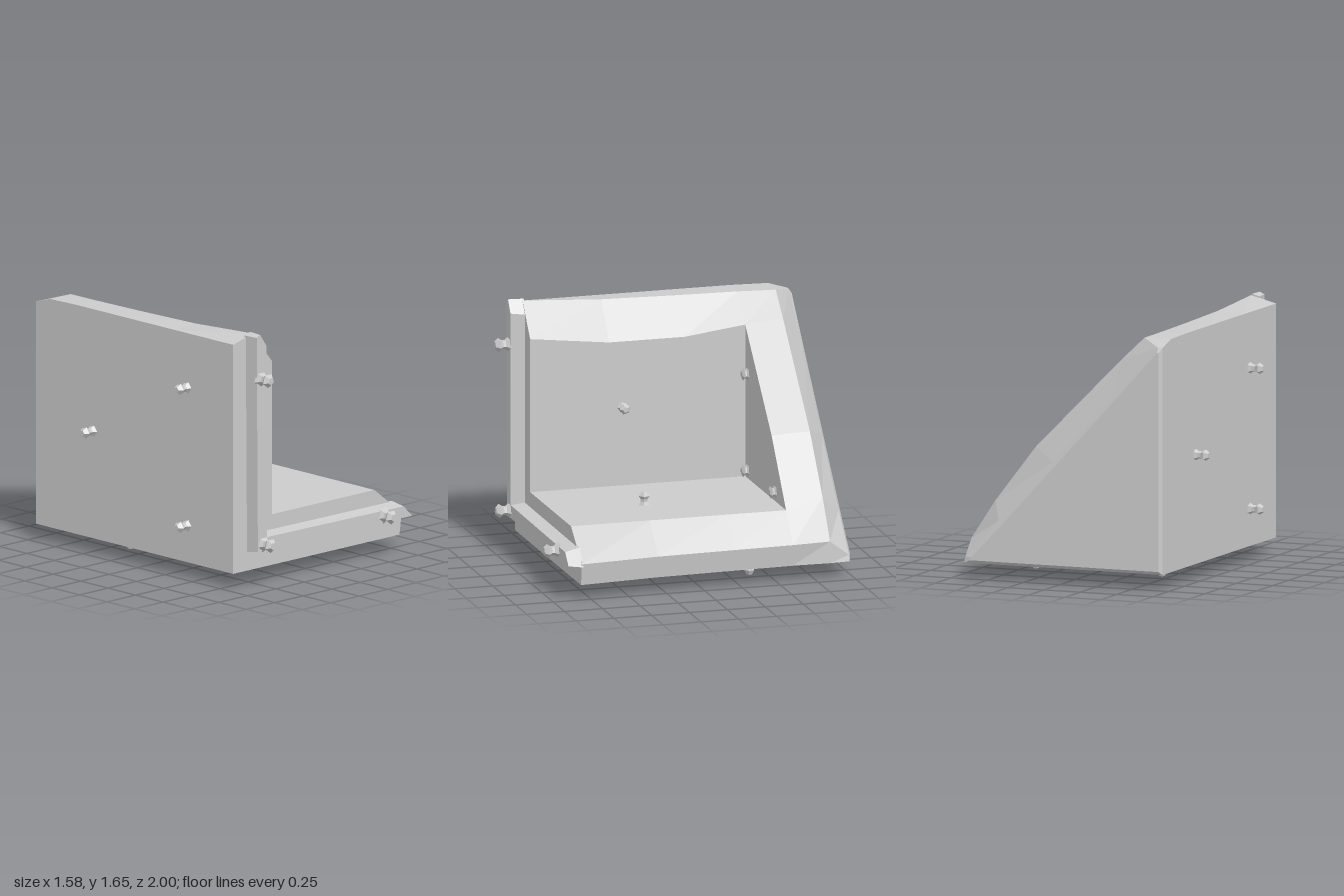
import * as THREE from 'three';

const material = new THREE.MeshStandardMaterial({ color: 0xcccccc, flatShading: true, side: THREE.DoubleSide });

// Joins rings of [x, y] points, ordered front to back and counterclockwise from the front.
function loft(rings) {
  const pos = [];
  const tri = (...pts) => pts.forEach((p) => pos.push(...p));
  const cap = (ring, front) => {
    const contour = ring.pts.map(([x, y]) => new THREE.Vector2(x, y));
    for (const f of THREE.ShapeUtils.triangulateShape(contour, [])) {
      const [a, b, c] = f.map((i) => [...ring.pts[i], ring.z]);
      if (front) tri(a, b, c); else tri(a, c, b);
    }
  };
  for (let r = 0; r < rings.length - 1; r++) {
    const f = rings[r], k = rings[r + 1], n = f.pts.length;
    for (let i = 0; i < n; i++) {
      const j = (i + 1) % n;
      const a = [...f.pts[i], f.z], b = [...f.pts[j], f.z];
      const c = [...k.pts[j], k.z], d = [...k.pts[i], k.z];
      tri(a, c, b);
      tri(a, d, c);
    }
  }
  cap(rings[0], true);
  cap(rings[rings.length - 1], false);
  const geo = new THREE.BufferGeometry();
  geo.setAttribute('position', new THREE.Float32BufferAttribute(pos, 3));
  geo.computeVertexNormals();
  return geo;
}

// L-shaped section of the side wall and floor, with sloped rims on both ends.
function wallSection(z, floorEnd, wallTop, rimY, mid = [-0.36, 0.43]) {
  return {
    z,
    pts: [
      [-0.7, 0.1], [floorEnd - 0.02, 0.1], [floorEnd, 0.24], [0.54, 0.43],
      mid, [-0.36, rimY], [-0.53, wallTop], [-0.7, 1.595],
    ],
  };
}

// Small faceted stud: flared root, narrow neck, blunt knob.
function makeStud(name, position, normal, radius, height) {
  const profile = [[1.1, -0.1], [0.62, 0.25], [0.6, 0.45], [0.95, 0.7], [0.5, 1], [0, 1]]
    .map(([r, h]) => new THREE.Vector2(r * radius, h * height));
  const stud = new THREE.Mesh(new THREE.LatheGeometry(profile, 5), material);
  stud.name = name;
  stud.position.set(...position);
  stud.quaternion.setFromUnitVectors(new THREE.Vector3(0, 1, 0), new THREE.Vector3(...normal));
  return stud;
}

export function createModel() {
  const group = new THREE.Group();
  group.name = 'cornerBlock';
  const add = (name, geo) => {
    const mesh = new THREE.Mesh(geo, material);
    mesh.name = name;
    group.add(mesh);
  };

  // Side wall, floor and triangular back wall; the inner corner jumps to the diagonal at the back wall
  add('cornerWalls', loft([
    wallSection(0.82, 0.78, 1.64, 1.43),
    wallSection(0.3, 0.73, 1.61, 1.37),
    wallSection(-0.2, 0.71, 1.6, 1.37),
    wallSection(-0.6, 0.695, 1.595, 1.42),
    wallSection(-0.6, 0.695, 1.595, 1.42, [0.22, 0.84]),
    {
      z: -0.85,
      pts: [[-0.7, 0.1], [0.68, 0.1], [0.675, 0.24], [0.51, 0.49],
        [0.23, 0.85], [-0.36, 1.44], [-0.52, 1.59], [-0.7, 1.59]],
    },
    // Bevelled rear rim
    {
      z: -0.98,
      pts: [[-0.7, 0.1], [0.67, 0.1], [0.66, 0.14], [0.43, 0.38],
        [0.06, 0.78], [-0.36, 1.22], [-0.67, 1.55], [-0.7, 1.55]],
    },
    {
      z: -1,
      pts: [[-0.68, 0.12], [0.62, 0.12], [0.61, 0.14], [0.4, 0.36],
        [0.04, 0.75], [-0.36, 1.18], [-0.67, 1.52], [-0.68, 1.52]],
    },
  ]));

  // Raised L-shaped tongue on the front edges
  add('frontTongue', loft([
    {
      z: 0.91,
      pts: [[-0.57, 0.235], [0.785, 0.235], [0.71, 0.31], [-0.49, 0.32],
        [-0.495, 1.57], [-0.55, 1.65], [-0.58, 1.635]],
    },
    {
      z: 0.81,
      pts: [[-0.58, 0.22], [0.785, 0.22], [0.7, 0.33], [-0.475, 0.335],
        [-0.475, 1.56], [-0.54, 1.65], [-0.59, 1.635]],
    },
  ]));

  // Studs: name, normal, radius, height, positions
  const studs = [
    ['sideStud', [-1, 0, 0], 0.04, 0.095, [[-0.7, 1.24, 0.4], [-0.7, 0.8, -0.46], [-0.7, 0.34, 0.4]]],
    ['bottomStud', [0, -1, 0], 0.036, 0.1, [[-0.44, 0.1, -0.39], [0.05, 0.1, 0.42], [0.43, 0.1, -0.39]]],
    ['frontStud', [0, 0, 1], 0.05, 0.09, [[-0.54, 1.36, 0.91], [-0.52, 0.28, 0.91], [0.54, 0.28, 0.91]]],
    ['backWallStud', [0, 0, 1], 0.045, 0.04, [[-0.31, 1.11, -0.6], [-0.31, 0.48, -0.6], [0.3, 0.49, -0.6]]],
    ['innerSideStud', [1, 0, 0], 0.038, 0.075, [[-0.36, 0.94, 0.21]]],
    ['floorStud', [0, 1, 0], 0.038, 0.085, [[0.15, 0.43, 0.22]]],
  ];
  for (const [name, normal, radius, height, places] of studs) {
    for (const p of places) group.add(makeStud(name, p, normal, radius, height));
  }
  return group;
}
